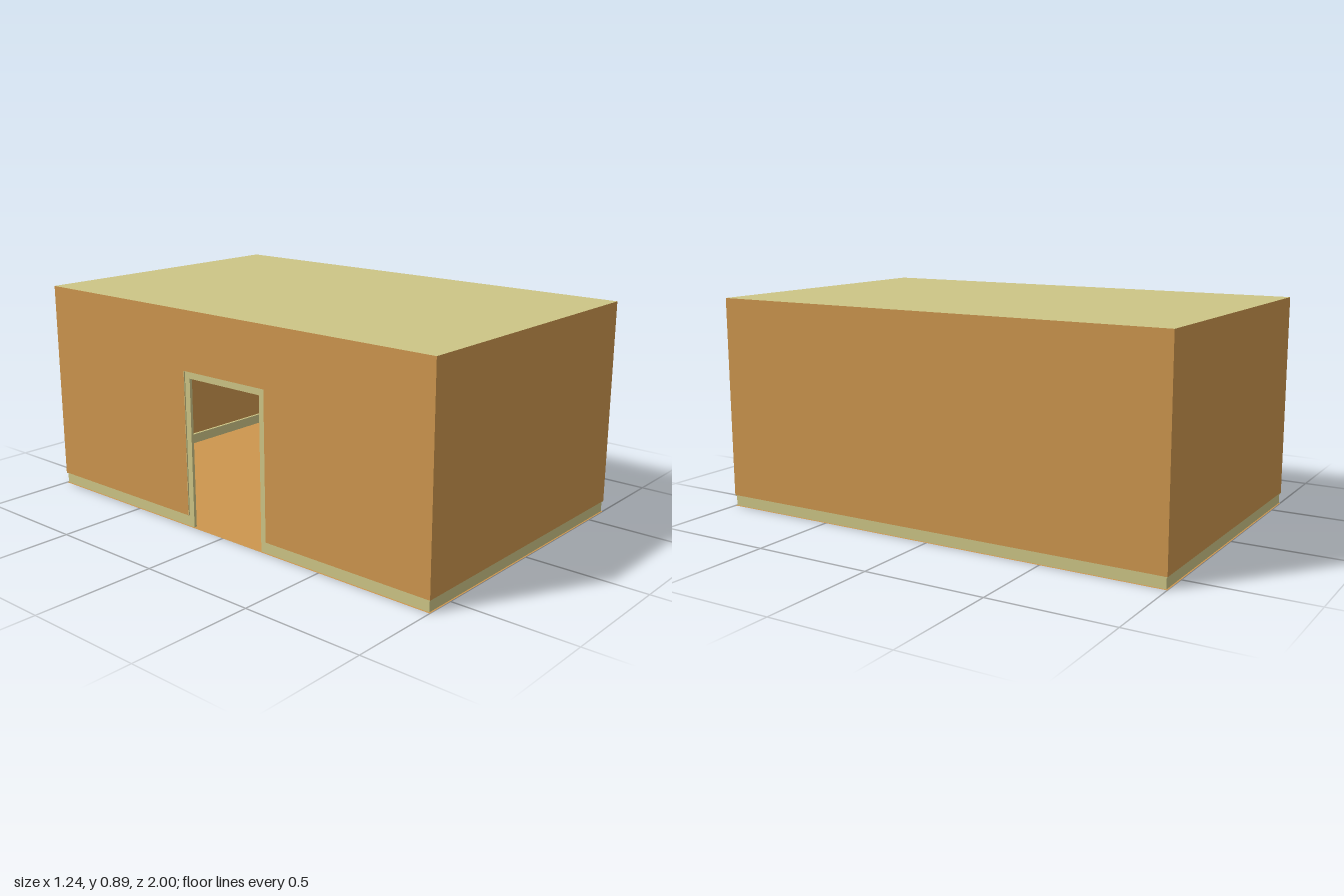
import * as THREE from 'three';

const W = 0.622, D = 1, H = 0.894;      // half width, half depth, height
const SK = 0.047;                       // skirting height
const INSET = 0.005, THICK = 0.008;     // trim recess and thickness
const DOOR = { z0: -0.195, z1: 0.235, top: 0.65, trim: 0.028 };

const clay = new THREE.MeshStandardMaterial({ color: 0xcd964e, side: THREE.DoubleSide });
clay.name = 'clay wall';
const khaki = new THREE.MeshStandardMaterial({ color: 0xcdc586, side: THREE.DoubleSide });
khaki.name = 'khaki trim';

export function createModel() {
  const room = new THREE.Group();
  room.name = 'room';

  const add = (name, geometry, material) => {
    const mesh = new THREE.Mesh(geometry, material);
    mesh.name = name;
    room.add(mesh);
    return mesh;
  };
  // box given by its opposite corners
  const block = (name, x0, x1, y0, y1, z0, z1, material) =>
    add(name, new THREE.BoxGeometry(x1 - x0, y1 - y0, z1 - z0), material)
      .position.set((x0 + x1) / 2, (y0 + y1) / 2, (z0 + z1) / 2);

  // floor and ceiling sheets
  add('floor', new THREE.PlaneGeometry(2 * W, 2 * D).rotateX(Math.PI / 2), clay);
  add('roof', new THREE.PlaneGeometry(2 * W, 2 * D).rotateX(-Math.PI / 2), khaki).position.y = H;

  // plain walls, starting above the skirting
  const wallH = H - SK, wallY = SK + wallH / 2;
  add('frontWall', new THREE.PlaneGeometry(2 * W, wallH), clay).position.set(0, wallY, D);
  add('backWall', new THREE.PlaneGeometry(2 * W, wallH).rotateY(Math.PI), clay).position.set(0, wallY, -D);
  add('leftWall', new THREE.PlaneGeometry(2 * D, wallH).rotateY(Math.PI / 2), clay).position.set(W, wallY, 0);

  // wall with the doorway cut out
  const outline = new THREE.Shape([
    [-D, SK], [DOOR.z0, SK], [DOOR.z0, DOOR.top], [DOOR.z1, DOOR.top],
    [DOOR.z1, SK], [D, SK], [D, H], [-D, H],
  ].map(([z, y]) => new THREE.Vector2(z, y)));
  add('doorWall', new THREE.ShapeGeometry(outline).rotateY(-Math.PI / 2), clay).position.x = -W;

  // recessed skirting boards, each with a thin ledge meeting the wall
  const a = INSET, b = INSET + THICK;
  for (const s of [-1, 1]) {
    const zs = [s * (D - a), s * (D - b)].sort((p, q) => p - q);
    const ze = [s * D, s * (D - a)].sort((p, q) => p - q);
    const name = s > 0 ? 'front' : 'back';
    block(name + 'Skirting', -W + a, W - a, 0.001, SK, ...zs, khaki);
    block(name + 'SkirtingLedge', -W, W, SK - 0.002, SK, ...ze, khaki);
  }
  const sideSkirting = (name, s, z0, z1) => {
    const xs = [s * (W - a), s * (W - b)].sort((p, q) => p - q);
    const xe = [s * W, s * (W - a)].sort((p, q) => p - q);
    block(name, ...xs, 0.001, SK, z0, z1, khaki);
    block(name + 'Ledge', ...xe, SK - 0.002, SK, z0, z1, khaki);
  };
  sideSkirting('leftSkirting', 1, -D + b, D - b);
  sideSkirting('rightBackSkirting', -1, -D + b, DOOR.z0);
  sideSkirting('rightFrontSkirting', -1, DOOR.z1, D - b);

  // recessed door frame
  const x0 = -W + a, x1 = -W + a + 0.012, t = DOOR.trim;
  block('doorJambBack', x0, x1, 0.001, DOOR.top, DOOR.z0, DOOR.z0 + t, khaki);
  block('doorJambFront', x0, x1, 0.001, DOOR.top, DOOR.z1 - t, DOOR.z1, khaki);
  block('doorHead', x0, x1, DOOR.top - t, DOOR.top, DOOR.z0 + t, DOOR.z1 - t, khaki);
  // thin reveals between wall face and frame
  block('doorRevealBack', -W, x0, SK, DOOR.top, DOOR.z0, DOOR.z0 + 0.002, khaki);
  block('doorRevealFront', -W, x0, SK, DOOR.top, DOOR.z1 - 0.002, DOOR.z1, khaki);
  block('doorRevealTop', -W, x0, DOOR.top - 0.002, DOOR.top, DOOR.z0, DOOR.z1, khaki);

  return room;
}
